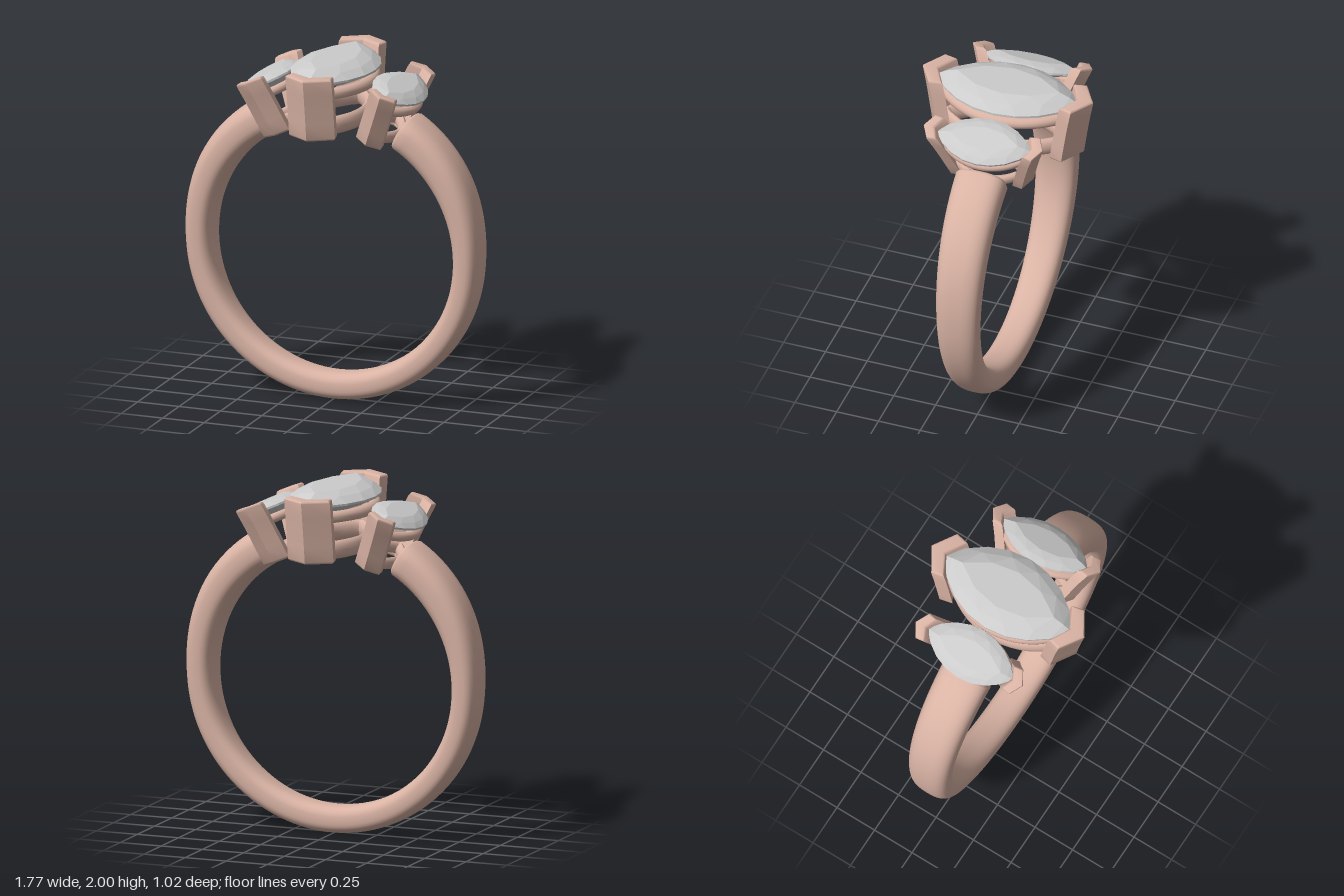
import * as THREE from 'three';
import { toCreasedNormals } from 'three/addons/utils/BufferGeometryUtils.js';
import { ConvexGeometry } from 'three/addons/geometries/ConvexGeometry.js';

const CENTER_Y = 0.885, INNER = 0.727;
const metal = new THREE.MeshStandardMaterial({ color: 0xd9b3a4 });
const stone = new THREE.MeshStandardMaterial({ color: 0xcccccc, flatShading: true });

function add(parent, name, geometry, material) {
  const mesh = new THREE.Mesh(geometry, material);
  mesh.name = name;
  parent.add(mesh);
  return mesh;
}

// Pointed oval made of two arcs: half width w, half length l, n points per side
function marquise(w, l, y, n) {
  const R = (w * w + l * l) / (2 * w), reach = Math.asin(l / R), points = [];
  for (const side of [1, -1]) {
    for (let i = 0; i < n; i++) {
      const a = side * reach * (1 - 2 * i / n);
      points.push(new THREE.Vector3(side * (R * Math.cos(a) - R + w), y, R * Math.sin(a)));
    }
  }
  return points;
}

// Open band: rounded section swept round the finger, thicker and wider to the top
function bandGeometry() {
  const start = THREE.MathUtils.degToRad(29.5), end = 2 * Math.PI - start;
  const rings = [[start, 0], [start, 0.8], [start + 0.008, 0.93], [start + 0.025, 1]];
  const steps = 96, around = 32;
  for (let i = 1; i < steps; i++) {
    rings.push([THREE.MathUtils.lerp(start + 0.025, end - 0.025, i / steps), 1]);
  }
  rings.push([end - 0.025, 1], [end - 0.008, 0.93], [end, 0.8], [end, 0]);

  const positions = [], index = [];
  const power = (v) => Math.sign(v) * Math.pow(Math.abs(v), 0.75);
  rings.forEach(([phi, scale], i) => {
    const rise = THREE.MathUtils.smoothstep(Math.cos(phi), -0.1, 0.9);
    const thick = 0.157 + 0.062 * rise;
    const mid = INNER + thick / 2;
    const half = 0.094 + 0.035 * (CENTER_Y + mid * Math.cos(phi));
    for (let j = 0; j < around; j++) {
      const v = 2 * Math.PI * j / around;
      const r = mid + scale * power(Math.cos(v)) * thick / 2;
      positions.push(r * Math.sin(phi), r * Math.cos(phi), scale * power(Math.sin(v)) * half);
      if (i < rings.length - 1) {
        const a = i * around + j, b = i * around + (j + 1) % around;
        index.push(a, b, a + around, b, b + around, a + around);
      }
    }
  });
  const geometry = new THREE.BufferGeometry();
  geometry.setAttribute('position', new THREE.Float32BufferAttribute(positions, 3));
  geometry.setIndex(index);
  geometry.computeVertexNormals();
  return geometry;
}

// Faceted stone: table, crown, girdle, pavilion and keel
function gemGeometry({ w, l, girdle, crown, depth }) {
  return new ConvexGeometry([
    ...marquise(w * 0.5, l * 0.72, girdle + crown, 4),
    ...marquise(w * 0.8, l * 0.87, girdle + crown * 0.62, 5),
    ...marquise(w, l, girdle + 0.006, 8),
    ...marquise(w, l, girdle - 0.006, 8),
    ...marquise(w * 0.62, l * 0.66, girdle - depth * 0.5, 4),
    new THREE.Vector3(0, girdle - depth, l * 0.2),
    new THREE.Vector3(0, girdle - depth, -l * 0.2),
  ]);
}

// Rail following the outline of the stone
function railGeometry([w, l, y, radius, stretch]) {
  const path = new THREE.CatmullRomCurve3(marquise(w, l, 0, 8), true);
  const geometry = new THREE.TubeGeometry(path, 72, radius, 12, true);
  geometry.scale(1, stretch, 1);
  geometry.translate(0, y, 0);
  geometry.computeVertexNormals();
  return geometry;
}

// V-shaped claw that leans inward to its foot
function prongGeometry({ tip, arm, armZ, innerX, innerZ, notch, bottom, top, lean }) {
  const bevel = 0.014;
  const shape = new THREE.Shape([
    [0, tip - bevel * 1.3], [-arm + bevel, armZ], [-innerX + bevel / 2, innerZ + bevel],
    [0, notch + bevel], [innerX - bevel / 2, innerZ + bevel], [arm - bevel, armZ],
  ].map(([x, y]) => new THREE.Vector2(x, y)));
  const geometry = new THREE.ExtrudeGeometry(shape, {
    depth: top - bottom - 2 * bevel, steps: 4,
    bevelSize: bevel, bevelThickness: bevel, bevelSegments: 3,
  });
  geometry.rotateX(-Math.PI / 2);
  geometry.translate(0, bottom + bevel, 0);
  const p = geometry.attributes.position;
  for (let i = 0; i < p.count; i++) {
    const t = (top - p.getY(i)) / (top - bottom);
    p.setZ(i, p.getZ(i) + lean * Math.pow(Math.max(t, 0), 0.85));
  }
  return toCreasedNormals(geometry, 0.7);
}

// Heights in a setting are radial distances from the middle of the band
function createSetting(name, spec, angle) {
  const group = new THREE.Group();
  group.name = name;
  group.rotation.z = angle;
  add(group, 'gem', gemGeometry(spec.gem), stone);
  add(group, 'upperRail', railGeometry(spec.upperRail), metal);
  add(group, 'lowerRail', railGeometry(spec.lowerRail), metal);
  const prong = prongGeometry(spec.prong);
  add(group, 'backProng', prong, metal);
  add(group, 'frontProng', prong, metal).rotation.y = Math.PI;
  return group;
}

const centerSpec = {
  gem: { w: 0.24, l: 0.425, girdle: 1.05, crown: 0.065, depth: 0.1 },
  upperRail: [0.2, 0.38, 0.98, 0.034, 1],
  lowerRail: [0.165, 0.36, 0.785, 0.03, 1.75],
  prong: { tip: 0.515, arm: 0.137, armZ: 0.42, innerX: 0.12, innerZ: 0.355,
    notch: 0.42, bottom: 0.728, top: 1.1, lean: 0.06 },
};
const sideSpec = {
  gem: { w: 0.152, l: 0.285, girdle: 1.033, crown: 0.04, depth: 0.07 },
  upperRail: [0.118, 0.25, 0.97, 0.026, 1],
  lowerRail: [0.09, 0.2, 0.785, 0.024, 1.5],
  prong: { tip: 0.365, arm: 0.08, armZ: 0.31, innerX: 0.07, innerZ: 0.262,
    notch: 0.295, bottom: 0.732, top: 1.085, lean: 0.11 },
};

export function createModel() {
  const ring = new THREE.Group();
  ring.name = 'ring';
  const body = new THREE.Group();
  body.name = 'ringBody';
  body.position.y = CENTER_Y;
  ring.add(body);

  add(body, 'band', bandGeometry(), metal);
  const tilt = THREE.MathUtils.degToRad(22);
  body.add(
    createSetting('centerSetting', centerSpec, 0),
    createSetting('leftSetting', sideSpec, -tilt),
    createSetting('rightSetting', sideSpec, tilt),
  );
  return ring;
}
